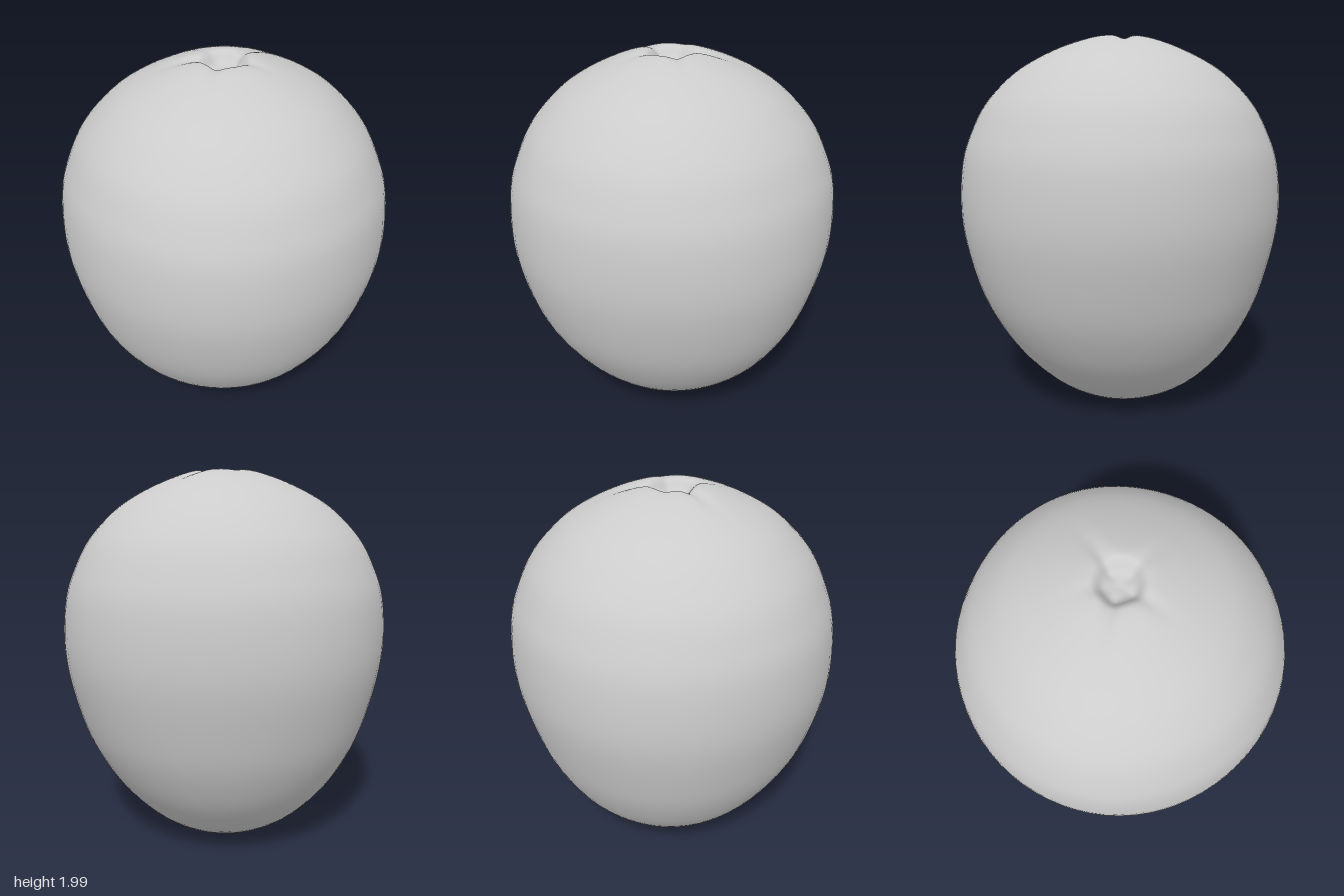
import * as THREE from 'three';
import { mergeVertices } from 'three/addons/utils/BufferGeometryUtils.js';

// Creases around a dimple: [angle measured from +x towards +z, depth, length]
const TOP_CREASES = [[0.74, 0.025, 0.16], [2.2, 0.025, 0.18], [3.45, 0.03, 0.22], [4.45, 0.015, 0.15], [5.73, 0.03, 0.24]];
const BOTTOM_CREASES = [[0.5, 0.02, 0.15], [1.9, 0.02, 0.15], [3.3, 0.025, 0.2], [4.9, 0.03, 0.18]];

function creaseDepth(creases, x, z) {
  const r = Math.hypot(x, z);
  const a = Math.atan2(z, x);
  let depth = 0;
  for (const [angle, d, length] of creases) {
    const across = r * Math.sin(a - angle);
    const along = r * Math.cos(a - angle);
    if (along <= 0) continue;
    const rise = THREE.MathUtils.smoothstep(along, 0.02, 0.1);
    depth += d * rise * Math.exp(-((across / 0.035) ** 2)) * Math.exp(-((along / length) ** 2));
  }
  return depth;
}

function createFruitBody() {
  // Half outline [radius, height], from the bottom dimple to the top dimple
  const outline = [
    [0, 0.09], [0.035, 0.08], [0.08, 0.03], [0.13, 0.008], [0.2, 0.01], [0.29, 0.035],
    [0.44, 0.13], [0.59, 0.28], [0.7, 0.44], [0.79, 0.63], [0.86, 0.89], [0.882, 1.1],
    [0.863, 1.33], [0.81, 1.49], [0.73, 1.64], [0.6, 1.78], [0.48, 1.865], [0.34, 1.935],
    [0.22, 1.98], [0.145, 1.998], [0.11, 1.99], [0.075, 1.955], [0.035, 1.935], [0, 1.93],
  ].map(([r, y]) => new THREE.Vector2(r, y));
  const points = new THREE.SplineCurve(outline).getPoints(92);
  points[0].x = points[points.length - 1].x = 0;

  let geometry = new THREE.LatheGeometry(points, 72);
  geometry.deleteAttribute('uv');
  geometry.deleteAttribute('normal');
  geometry = mergeVertices(geometry, 1e-5);

  // Press in the creases and make the round shape slightly irregular
  const pos = geometry.attributes.position;
  for (let i = 0; i < pos.count; i++) {
    const x = pos.getX(i), y = pos.getY(i), z = pos.getZ(i);
    const a = Math.atan2(z, x);
    const wobble = 1 + 0.005 * Math.sin(3 * a + 2 * y) + 0.003 * Math.cos(5 * a - 3 * y);
    const lean = -0.03 * (1 - THREE.MathUtils.smoothstep(y, 0, 0.8));
    const dent = y > 1 ? -creaseDepth(TOP_CREASES, x, z) : creaseDepth(BOTTOM_CREASES, x, z);
    pos.setXYZ(i, x * wobble, Math.max(0, y + dent), z * wobble + lean);
  }
  geometry.computeVertexNormals();
  return geometry;
}

export function createModel() {
  const group = new THREE.Group();
  group.name = 'fruit';
  const material = new THREE.MeshStandardMaterial({ color: 0xcccccc });
  const body = new THREE.Mesh(createFruitBody(), material);
  body.name = 'fruitBody';
  group.add(body);
  return group;
}
